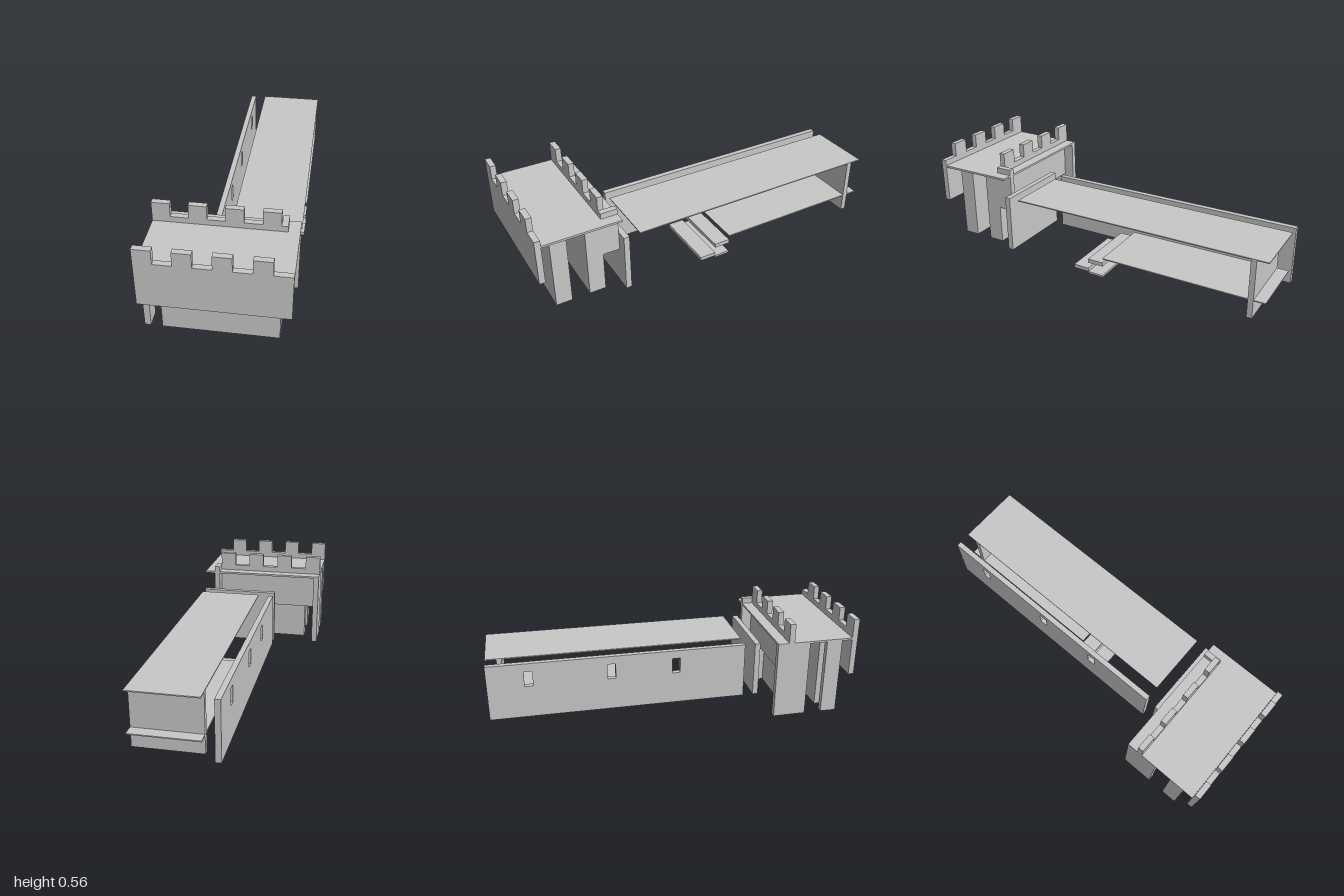
import * as THREE from 'three';

const stone = new THREE.MeshStandardMaterial({ color: 0xc8c8c8 });
stone.name = 'pale grey stone';

export function createModel() {
  const model = new THREE.Group();
  model.name = 'castleGatehouse';

  const add = (parent, name, geometry) => {
    const mesh = new THREE.Mesh(geometry, stone);
    mesh.name = name;
    parent.add(mesh);
    return mesh;
  };

  // box given by its limits on each axis
  const box = (parent, name, [x0, x1], [y0, y1], [z0, z1]) => {
    const g = new THREE.BoxGeometry(x1 - x0, y1 - y0, z1 - z0);
    g.translate((x0 + x1) / 2, (y0 + y1) / 2, (z0 + z1) / 2);
    return add(parent, name, g);
  };

  const group = (name) => {
    const g = new THREE.Group();
    g.name = name;
    model.add(g);
    return g;
  };

  const LEFT = 0.363, RIGHT = -0.365, GROUND = 0.012;

  // crenellated wall: four merlons with equal gaps
  const battlement = (name, xEnd, z0) => {
    const pitch = 0.182, tooth = 0.091, low = 0.48, high = 0.556;
    const s = new THREE.Shape();
    s.moveTo(RIGHT, 0.23);
    s.lineTo(xEnd, 0.23);
    s.lineTo(xEnd, low);
    for (let i = 3; i >= 0; i--) {
      const x = RIGHT + i * pitch;
      s.lineTo(x + tooth, low);
      s.lineTo(x + tooth, high);
      s.lineTo(x, high);
      if (i > 0) s.lineTo(x, low);
    }
    s.closePath();
    const g = new THREE.ExtrudeGeometry(s, { depth: 0.031, bevelEnabled: false });
    g.translate(0, 0, z0);
    return add(tower, name, g);
  };

  // gate tower
  const tower = group('gateTower');
  battlement('frontBattlement', LEFT, 0.969);
  battlement('rearBattlement', 0.304, 0.607);
  box(tower, 'battlementReturn', [0.273, 0.304], [0.23, 0.48], [0.547, 0.607]);
  box(tower, 'towerDeck', [RIGHT, LEFT], [0.437, 0.448], [0.547, 0.969]);
  box(tower, 'frontWall', [-0.275, 0.304], [GROUND, 0.437], [0.825, 0.912]);
  box(tower, 'rearWall', [-0.275, 0.304], [GROUND, 0.437], [0.638, 0.728]);
  box(tower, 'frontSidePillar', [RIGHT, -0.333], [GROUND, 0.437], [0.825, 0.912]);
  box(tower, 'rearSidePillar', [RIGHT, -0.333], [GROUND, 0.437], [0.547, 0.728]);
  box(tower, 'rearButtress', [0.091, 0.182], [GROUND, 0.23], [0.607, 0.638]);
  box(tower, 'rearScreen', [-0.091, LEFT], [GROUND, 0.335], [0.515, 0.546]);

  // long hall
  const hall = group('hall');
  box(hall, 'hallRoof', [0, LEFT], [0.332, 0.338], [-1, 0.455]);
  box(hall, 'hallFloor', [0, LEFT], [0.111, 0.117], [-1, -0.09]);
  box(hall, 'endWall', [0, LEFT], [GROUND, 0.332], [-0.938, -0.909]);

  // side wall with slit windows, drawn in z and y, then turned along z
  const wall = new THREE.Shape();
  wall.moveTo(-0.455, GROUND);
  wall.lineTo(1, GROUND);
  wall.lineTo(1, 0.335);
  wall.lineTo(-0.455, 0.335);
  wall.closePath();
  for (const z of [0.051, -0.317, -0.774]) {
    const hole = new THREE.Path();
    hole.moveTo(-z - 0.023, 0.199);
    hole.lineTo(-z - 0.023, 0.288);
    hole.lineTo(-z + 0.023, 0.288);
    hole.lineTo(-z + 0.023, 0.199);
    hole.closePath();
    wall.holes.push(hole);
  }
  const wallGeometry = new THREE.ExtrudeGeometry(wall, { depth: 0.03, bevelEnabled: false });
  wallGeometry.rotateY(Math.PI / 2);
  wallGeometry.translate(-0.091, 0, 0);
  add(hall, 'windowWall', wallGeometry);

  // loose stair planks
  const stairs = group('stairs');
  box(stairs, 'bottomPlank', [0, LEFT], [0, 0.012], [-0.09, 0]);
  box(stairs, 'lowerStep', [0, LEFT], [0.012, 0.033], [0, 0.091]);
  box(stairs, 'upperStep', [0, LEFT], [0.067, 0.09], [-0.09, 0]);

  return model;
}
